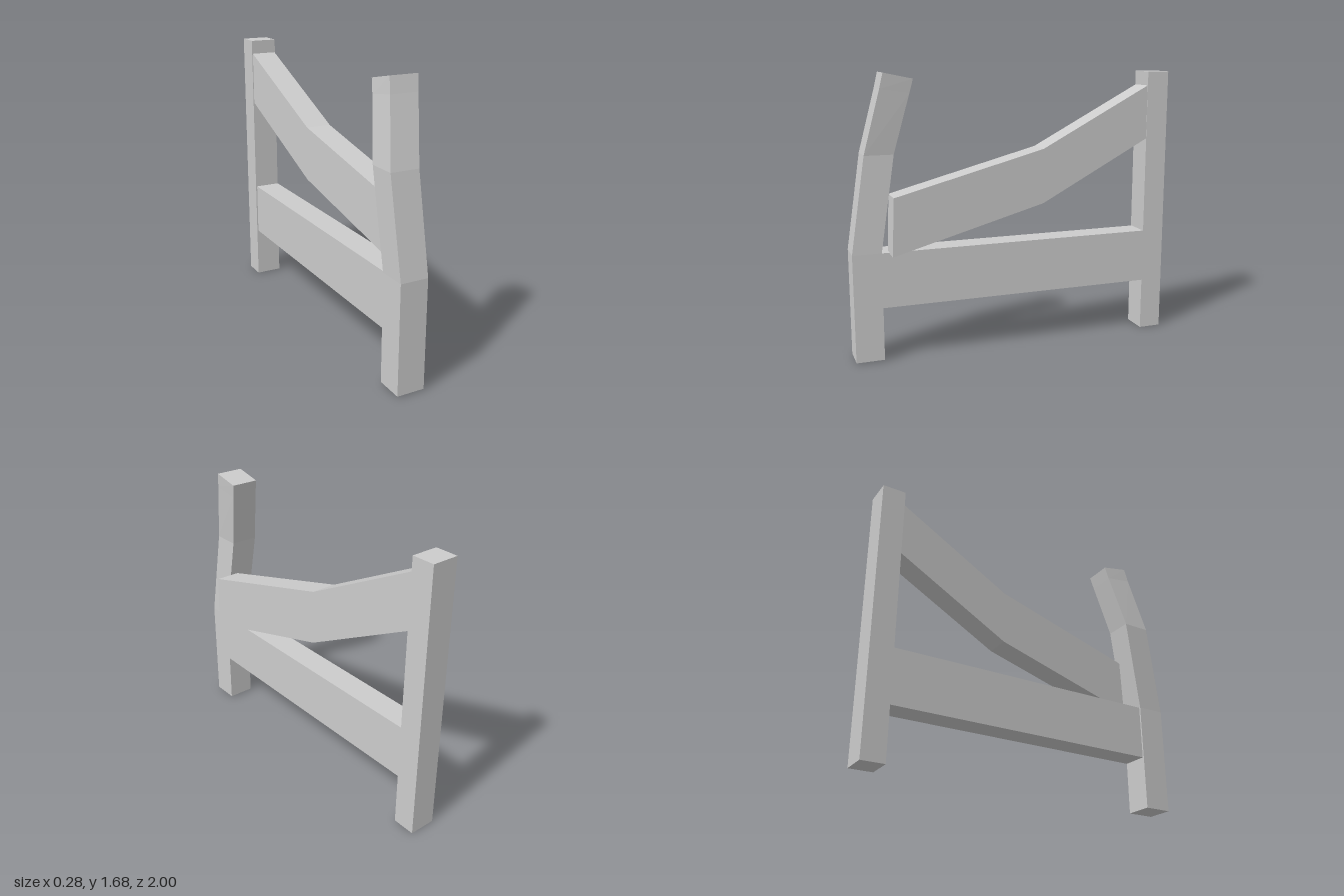
import * as THREE from 'three';

const material = new THREE.MeshStandardMaterial({ color: 0xcccccc, flatShading: true });

// Joins four-cornered sections (counter-clockwise seen from the far end) into a capped beam
function beam(name, sections) {
  const pos = [];
  const quad = (a, b, c, d) => pos.push(...a, ...b, ...c, ...a, ...c, ...d);
  for (let s = 0; s < sections.length - 1; s++) {
    const p = sections[s], q = sections[s + 1];
    for (let i = 0; i < 4; i++) {
      const j = (i + 1) % 4;
      quad(p[i], p[j], q[j], q[i]);
    }
  }
  const first = sections[0], last = sections[sections.length - 1];
  quad(first[3], first[2], first[1], first[0]);
  quad(...last);
  const geometry = new THREE.BufferGeometry();
  geometry.setAttribute('position', new THREE.Float32BufferAttribute(pos, 3));
  geometry.computeVertexNormals();
  const mesh = new THREE.Mesh(geometry, material);
  mesh.name = name;
  return mesh;
}

// Section of an upright post: x range, front and back z, front and back height
const level = (x0, x1, zf, zb, yf, yb = yf) =>
  [[x0, yf, zf], [x1, yf, zf], [x1, yb, zb], [x0, yb, zb]];

// Section of a rail running forwards: x range, bottom and top height, bottom and top z
const slice = (x0, x1, yb, yt, zb, zt = zb) =>
  [[x0, yb, zb], [x1, yb, zb], [x1, yt, zt], [x0, yt, zt]];

export function createModel() {
  const group = new THREE.Group();
  group.name = 'brokenFence';

  // Straight post at the back
  group.add(beam('backPost', [
    level(-0.12, 0.045, -0.86, -1, 0),
    level(-0.12, 0.045, -0.86, -1, 1.665),
  ]));

  // Warped post at the front, leaning backwards
  group.add(beam('frontPost', [
    level(-0.122, 0.045, 1, 0.833, 0.006),
    level(-0.122, 0.045, 1, 0.83, 0.655),
    level(-0.142, 0.028, 0.91, 0.74, 1.22),
    level(-0.097, 0.07, 0.818, 0.65, 1.59, 1.565),
    level(-0.09, 0.08, 0.798, 0.63, 1.68, 1.645),
  ]));

  // Level lower rail between the posts
  group.add(beam('lowerRail', [
    slice(-0.112, 0.045, 0.325, 0.655, -0.87),
    slice(-0.112, 0.045, 0.325, 0.655, 0.85),
  ]));

  // Upper rail that has come loose and sags past the front post
  group.add(beam('fallenUpperRail', [
    slice(-0.115, 0.042, 1.25, 1.58, -0.86),
    slice(-0.07, 0.085, 0.89, 1.22, -0.15),
    slice(-0.012, 0.14, 0.65, 0.99, 0.785, 0.77),
  ]));

  return group;
}
